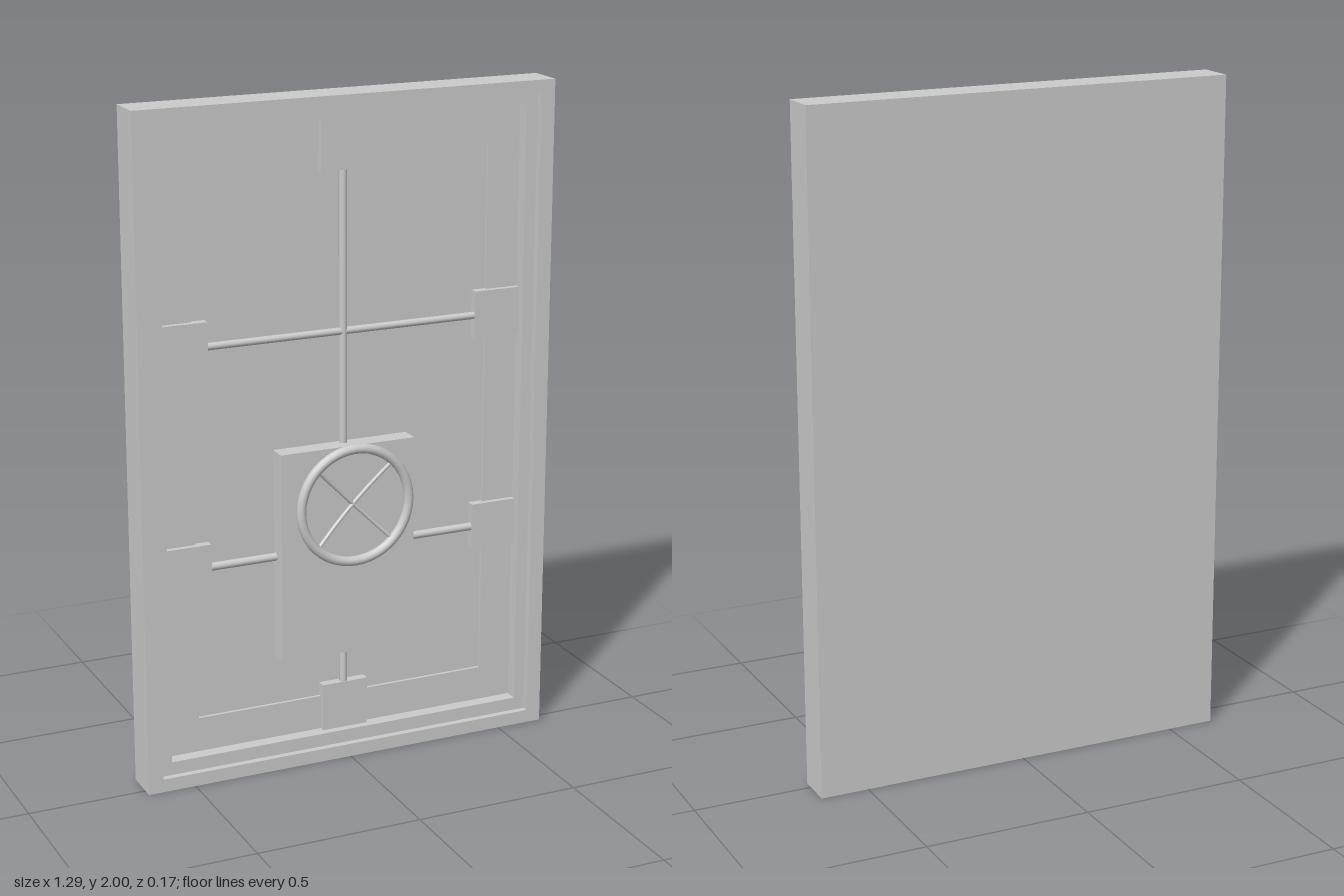
import * as THREE from 'three';

const material = new THREE.MeshStandardMaterial({ color: 0xcccccc });
const BACK = -0.085, PANEL = -0.04;

export function createModel() {
  const model = new THREE.Group();
  const add = (name, geometry, parent = model) => {
    const mesh = new THREE.Mesh(geometry, material);
    mesh.name = name;
    parent.add(mesh);
    return mesh;
  };

  // Rectangle outline as a shape or a hole
  const rect = (Type, w, y0, y1) => {
    const p = new Type();
    p.moveTo(-w, y0);
    p.lineTo(w, y0);
    p.lineTo(w, y1);
    p.lineTo(-w, y1);
    p.closePath();
    return p;
  };

  // Door slab: stepped recess, cut from stacked layers
  // Each step: half width, bottom, top of the opening, then the layer's z range
  const steps = [
    ['outerRim', 0.6, 0.04, 1.96, 0.01, 0.03],
    ['innerRim', 0.565, 0.08, 1.93, -0.03, 0.01],
    ['panelBorder', 0.463, 0.185, 1.825, PANEL, -0.03],
    ['doorPanel', 0, 0, 0, BACK, PANEL],
  ];
  for (const [name, w, y0, y1, z0, z1] of steps) {
    const shape = rect(THREE.Shape, 0.645, 0, 2);
    if (w) shape.holes.push(rect(THREE.Path, w, y0, y1));
    const geometry = new THREE.ExtrudeGeometry(shape, { depth: z1 - z0, bevelEnabled: false });
    add(name, geometry.translate(0, 0, z0));
  }

  // Block standing on the panel
  const block = (name, x, y, w, h, front) =>
    add(name, new THREE.BoxGeometry(w, h, front - PANEL)).position.set(x, y, (front + PANEL) / 2);

  // Bolt housings around the edge and the central lock case
  for (const s of [-1, 1]) {
    for (const y of [1.312, 0.653]) block('boltHousing', s * 0.493, y, 0.145, 0.145, -0.013);
  }
  block('boltHousing', 0, 1.855, 0.145, 0.15, -0.013);
  block('boltHousing', 0, 0.153, 0.145, 0.146, -0.013);
  block('lockCase', -0.003, 0.655, 0.424, 0.64, 0.018);

  // Locking rods between the lock case and the housings
  const rod = (name, x0, y0, x1, y1, r = 0.012) => {
    const path = new THREE.LineCurve3(new THREE.Vector3(x0, y0, -0.026), new THREE.Vector3(x1, y1, -0.026));
    add(name, new THREE.TubeGeometry(path, 1, r, 12));
  };
  rod('upperRod', 0, 0.96, 0, 1.79);
  rod('lowerRod', 0, 0.22, 0, 0.34);
  rod('crossRod', -0.43, 1.31, 0.43, 1.31, 0.011);
  for (const s of [-1, 1]) rod('sideRod', s * 0.2, 0.653, s * 0.43, 0.653);

  // Hand wheel
  const wheel = new THREE.Group();
  wheel.name = 'handWheel';
  wheel.position.set(-0.003, 0.81, 0);
  model.add(wheel);
  add('wheelRim', new THREE.TorusGeometry(0.171, 0.0145, 12, 48), wheel).position.z = 0.067;

  // Spokes bow back towards the door
  for (const a of [Math.PI / 4, -Math.PI / 4]) {
    const bow = new THREE.QuadraticBezierCurve3(
      new THREE.Vector3(-0.168, 0, 0.066), new THREE.Vector3(0, 0, 0.034), new THREE.Vector3(0.168, 0, 0.066));
    add('wheelSpoke', new THREE.TubeGeometry(bow, 16, 0.006, 8), wheel).rotation.z = a;
  }

  const stem = add('wheelStem', new THREE.CylinderGeometry(0.006, 0.006, 0.04, 12), wheel);
  stem.rotation.x = Math.PI / 2;
  stem.position.z = 0.032;
  return model;
}
